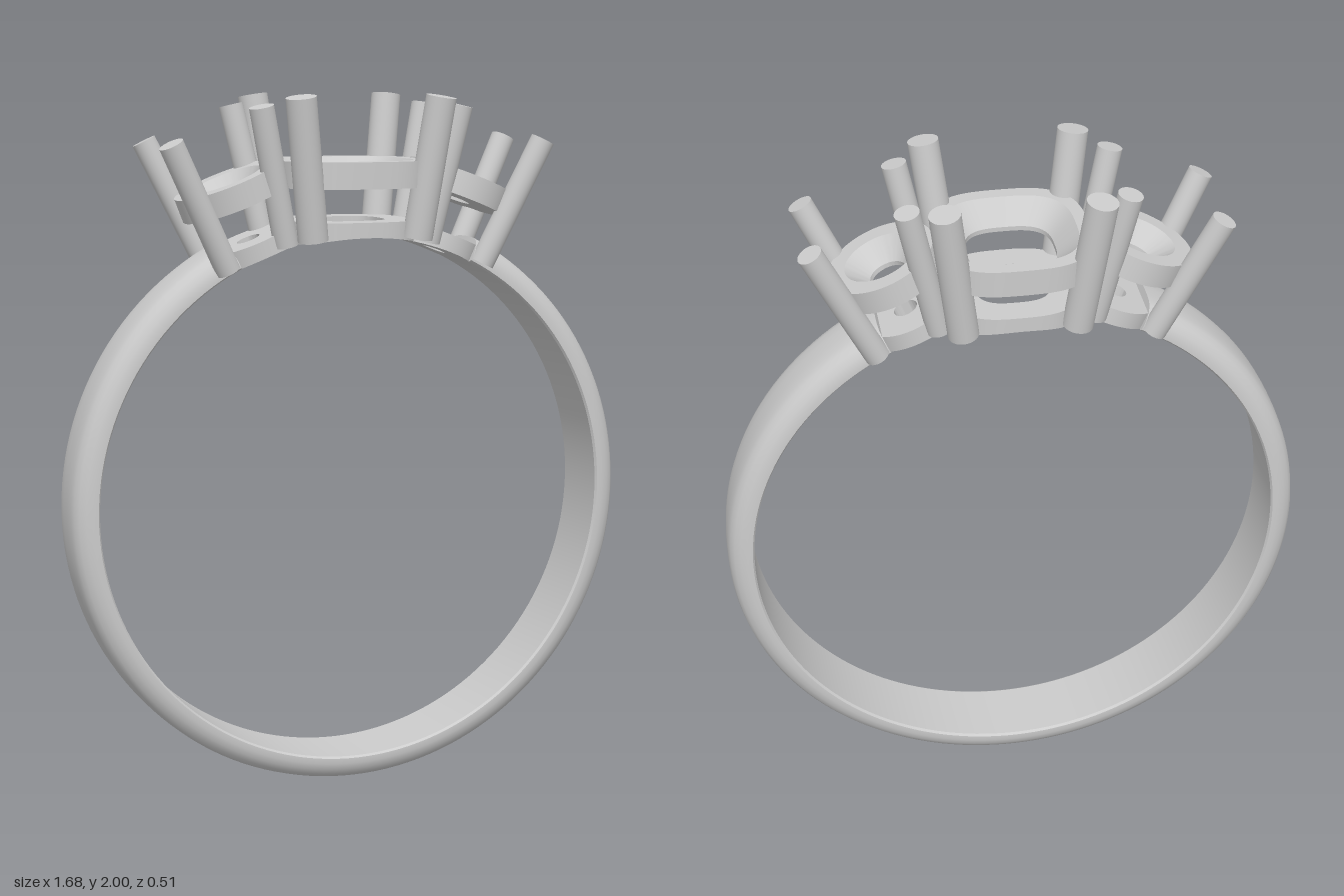
import * as THREE from 'three';
import { toCreasedNormals } from 'three/addons/utils/BufferGeometryUtils.js';

const METAL = new THREE.MeshStandardMaterial({ color: 0xcccccc });
const CENTRE_Y = 0.838; // centre of the finger hole
const INNER = 0.764;    // radius of the finger hole
const TILT = 0.37;      // lean of the side settings

function mesh(name, geometry) {
  const m = new THREE.Mesh(geometry, METAL);
  m.name = name;
  return m;
}

// Skin a list of equal closed loops; optionally join the last loop to the first.
function loft(loops, wrap) {
  const n = loops[0].length, pos = [], index = [];
  loops.forEach(loop => loop.forEach(p => pos.push(p.x, p.y, p.z)));
  const last = wrap ? loops.length : loops.length - 1;
  for (let i = 0; i < last; i++) {
    const i2 = (i + 1) % loops.length;
    for (let j = 0; j < n; j++) {
      const j2 = (j + 1) % n;
      index.push(i * n + j, i2 * n + j, i * n + j2, i2 * n + j, i2 * n + j2, i * n + j2);
    }
  }
  const g = new THREE.BufferGeometry();
  g.setAttribute('position', new THREE.Float32BufferAttribute(pos, 3));
  g.setIndex(index);
  return toCreasedNormals(g, 0.6);
}

// Rounded outline; power 2 is an ellipse, 3 a cushion. Without a height it lies on the finger hole.
function outline(halfX, halfZ, y, power) {
  const pts = [], e = 2 / power;
  for (let i = 0; i < 64; i++) {
    const t = (i / 64) * Math.PI * 2, c = Math.cos(t), s = Math.sin(t);
    const x = halfX * Math.sign(c) * Math.abs(c) ** e;
    const z = halfZ * Math.sign(s) * Math.abs(s) ** e;
    pts.push(new THREE.Vector3(x, y ?? Math.sqrt(INNER * INNER - x * x), z));
  }
  return pts;
}

function pierced(name, sections, power) {
  return mesh(name, loft(sections.map(([x, z, y]) => outline(x, z, y, power)), true));
}

function prong(name, from, to, radius) {
  const a = new THREE.Vector3(...from), b = new THREE.Vector3(...to), d = b.clone().sub(a);
  const m = mesh(name, new THREE.CylinderGeometry(radius, radius, d.length(), 32));
  m.position.copy(a).add(b).multiplyScalar(0.5);
  m.quaternion.setFromUnitVectors(new THREE.Vector3(0, 1, 0), d.normalize());
  return m;
}

// Open band with a flat inside and softly rounded outer edges
function band() {
  const half = [[INNER, 0.1], [0.769, 0.107], [0.785, 0.107], [0.803, 0.101],
    [0.82, 0.09], [0.831, 0.075], [0.836, 0.055], [0.838, 0.02]];
  const profile = [...half, ...half.map(([r, z]) => [r, -z]).reverse()];
  const at = (r, z, a) => new THREE.Vector3(r * Math.sin(a), CENTRE_Y + r * Math.cos(a), z);
  const start = 0.47, end = Math.PI * 2 - start, steps = 128, loops = [];
  const cap = a => profile.map(() => at(0.8, 0, a));
  loops.push(cap(start));
  for (let i = 0; i <= steps; i++) {
    const a = start + ((end - start) * i) / steps;
    loops.push(profile.map(([r, z]) => at(r, z, a)));
  }
  loops.push(cap(end));
  return mesh('band', loft(loops, false));
}

export function createModel() {
  const ring = new THREE.Group();
  ring.name = 'ring';
  ring.add(band());

  // Cushion-shaped centre setting: funnel seat above a pierced base
  const centre = new THREE.Group();
  centre.name = 'centreSetting';
  centre.position.y = CENTRE_Y;
  centre.add(
    pierced('centreSeat', [[0.215, 0.225, 0.902], [0.215, 0.225, 0.977], [0.18, 0.183, 0.977],
      [0.122, 0.122, 0.915], [0.122, 0.122, 0.902]], 3),
    pierced('centreBase', [[0.18, 0.185], [0.18, 0.185, 0.807], [0.105, 0.103, 0.807], [0.105, 0.103]], 3),
  );
  ring.add(centre);

  for (const side of [1, -1]) {
    const label = side > 0 ? 'left' : 'right';

    // Round side setting leaning outward along the band
    const setting = new THREE.Group();
    setting.name = label + 'SideSetting';
    setting.position.y = CENTRE_Y;
    setting.rotation.z = -side * TILT;
    setting.add(
      pierced('sideSeat', [[0.155, 0.155, 0.922], [0.155, 0.155, 0.992], [0.104, 0.104, 0.992],
        [0.052, 0.052, 0.935], [0.052, 0.052, 0.922]], 2),
      pierced('sideBase', [[0.125, 0.12], [0.125, 0.12, 0.812], [0.034, 0.034, 0.812], [0.034, 0.034]], 2),
    );
    ring.add(setting);

    // Prongs in front and behind
    for (const f of [1, -1]) {
      ring.add(
        prong(label + 'CentreProng', [side * 0.157, 1.597, f * 0.163], [side * 0.208, 1.994, f * 0.21], 0.043),
        prong(label + 'InnerSideProng', [side * 0.215, 1.58, f * 0.1], [side * 0.298, 1.968, f * 0.138], 0.035),
        prong(label + 'OuterSideProng', [side * 0.385, 1.513, f * 0.1], [side * 0.557, 1.868, f * 0.138], 0.035),
      );
    }
  }
  return ring;
}
